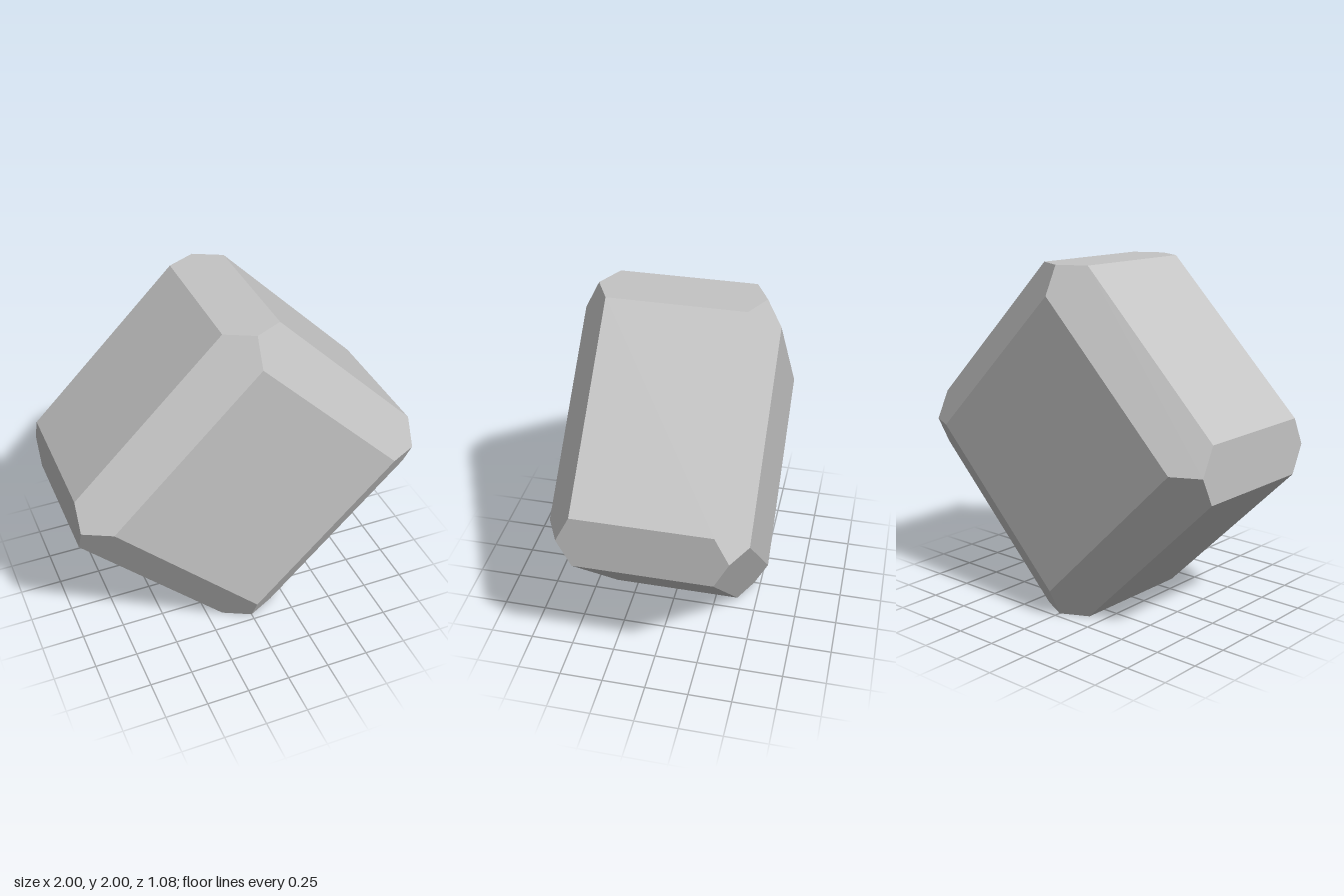
import * as THREE from 'three';
import { ConvexGeometry } from 'three/addons/geometries/ConvexGeometry.js';

// A square block standing on one edge, with every edge chamfered.
export function createModel() {
  const grey = new THREE.MeshStandardMaterial({ color: 0xc4c4c4 });
  grey.name = 'grey';

  const half = 1;       // half width and height of the diamond
  const depth = 0.542;  // half depth
  const bevel = 0.16;   // chamfer size

  const points = [];
  for (const z of [-1, 1]) {
    for (let i = 0; i < 4; i++) {
      // Each diamond corner: face tip, chamfer tip and the two ends of the flat
      const corner = [
        [half - bevel, 0, depth],
        [half, 0, depth - bevel / 2],
        [half, bevel, depth - bevel],
        [half, -bevel, depth - bevel],
      ];
      for (const [out, across, d] of corner) {
        const p = new THREE.Vector3(out, across, d * z);
        p.applyAxisAngle(new THREE.Vector3(0, 0, 1), (i * Math.PI) / 2);
        points.push(p);
      }
    }
  }

  const block = new THREE.Mesh(new ConvexGeometry(points), grey);
  block.name = 'chamferedBlock';
  block.position.y = half;

  const group = new THREE.Group();
  group.name = 'model';
  group.add(block);
  return group;
}
